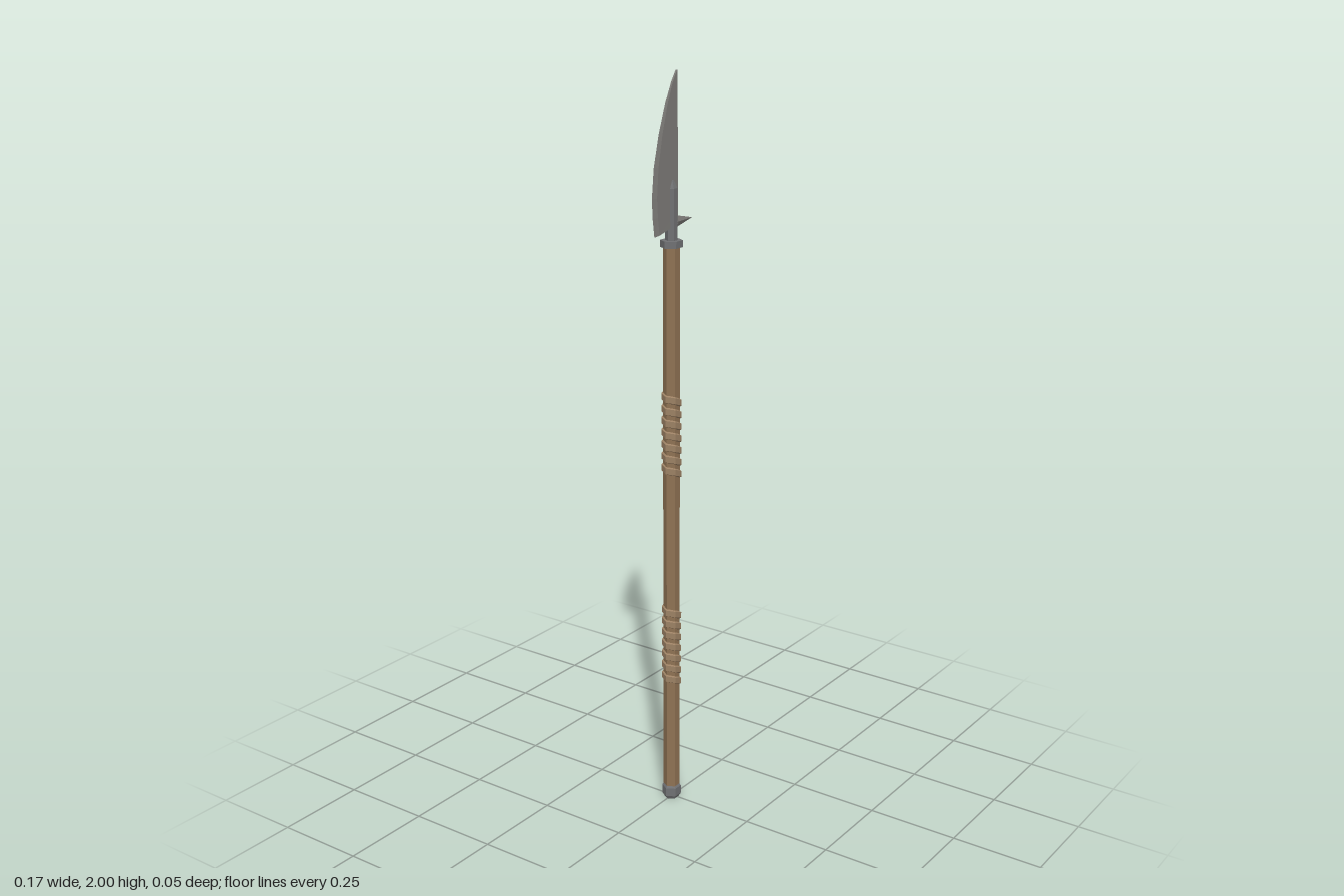
import * as THREE from 'three';

const mat = (name, color, side = THREE.FrontSide) => {
  const m = new THREE.MeshStandardMaterial({ color, side });
  m.name = name;
  return m;
};

// Closed solid from rings of equal length, listed bottom to top, with flat end caps
function loft(rings) {
  const n = rings[0].length, index = [];
  for (let r = 0; r < rings.length - 1; r++) {
    for (let i = 0; i < n; i++) {
      const a = r * n + i, b = r * n + (i + 1) % n;
      index.push(a, a + n, b, b, a + n, b + n);
    }
  }
  const top = (rings.length - 1) * n;
  for (let i = 1; i < n - 1; i++) {
    index.push(0, i, i + 1, top, top + i + 1, top + i);
  }
  const g = new THREE.BufferGeometry();
  g.setAttribute('position', new THREE.Float32BufferAttribute(rings.flat(2), 3));
  g.setIndex(index);
  const flat = g.toNonIndexed();
  flat.computeVertexNormals();
  return flat;
}

// Six-sided turned part with corners on the x axis
function hexLathe(points) {
  const g = new THREE.LatheGeometry(points.map(([r, y]) => new THREE.Vector2(r, y)), 6);
  g.rotateY(Math.PI / 2);
  const flat = g.toNonIndexed();
  flat.computeVertexNormals();
  return flat;
}

// Band wound round the six shaft corners, level at the sides and slanting across front and back
function winding(y0, height, turns) {
  const section = [[0.019, -0.012], [0.019, 0.012], [0.0265, 0.008], [0.0265, -0.008]];
  const rings = [];
  for (let i = 0; i <= turns * 6; i++) {
    const a = i * Math.PI / 3;
    const y = y0 + height * (a - 0.5 * Math.sin(2 * a)) / (turns * Math.PI * 2);
    rings.push(section.map(([r, dy]) => [r * Math.cos(a), y + dy, r * Math.sin(a)]));
  }
  return loft(rings);
}

export function createModel() {
  const wood = mat('brown wood', 0x8f7253);
  const cord = mat('tan cord', 0x9c8164);
  const steel = mat('blade steel', 0x7d7b78, THREE.DoubleSide);
  const iron = mat('grey iron', 0x707173);

  const model = new THREE.Group();
  model.name = 'polearm';
  const axis = -0.004;
  const add = (name, geometry, material, x = axis) => {
    const mesh = new THREE.Mesh(geometry, material);
    mesh.name = name;
    mesh.position.x = x;
    model.add(mesh);
  };

  // Shaft and its metal ends
  add('shaft', hexLathe([[0, 0.02], [0.022, 0.02], [0.022, 1.57], [0, 1.57]]), wood);
  add('buttCap', hexLathe([
    [0, 0], [0.02, 0], [0.026, 0.01], [0.026, 0.034], [0.021, 0.041], [0, 0.041],
  ]), iron);
  add('collar', hexLathe([[0, 1.563], [0.029, 1.563], [0.029, 1.581], [0, 1.581]]), iron);
  add('socket', hexLathe([
    [0, 1.575], [0.016, 1.575], [0.015, 1.712], [0.006, 1.732], [0, 1.733],
  ]), iron);

  // Two cord grips
  add('lowerGrip', winding(0.355, 0.228, 7), cord);
  add('upperGrip', winding(0.955, 0.228, 7), cord);

  // Blade: straight back, curved cutting edge; [edge x, edge y, back y]
  const back = 0.018;
  const sections = [
    [-0.077, 1.598, 1.62], [-0.084, 1.645, 1.655], [-0.087, 1.695, 1.695],
    [-0.079, 1.77, 1.77], [-0.058, 1.85, 1.85], [-0.03, 1.925, 1.925],
    [-0.006, 1.972, 1.972], [0.0165, 2, 2],
  ];
  const rings = sections.map(([edge, edgeY, backY], i) => {
    const t = 0.0055 * (1 - 0.6 * i / (sections.length - 1));
    const bevel = edge + (back - edge) * 0.15;
    const bevelY = edgeY + (backY - edgeY) * 0.15;
    return [
      [edge, edgeY, 0], [bevel, bevelY, -t], [back, backY, -t],
      [back, backY, t], [bevel, bevelY, t],
    ];
  });
  add('blade', loft(rings), steel, 0);

  // Rear spike: flattened four-sided point
  const spike = new THREE.ConeGeometry(1, 1, 4, 1).toNonIndexed();
  spike.rotateZ(-Math.PI / 2);
  spike.scale(0.087, 0.019, 0.008);
  spike.translate(0.0435, 1.625, 0);
  spike.computeVertexNormals();
  add('spike', spike, steel, 0);

  return model;
}
